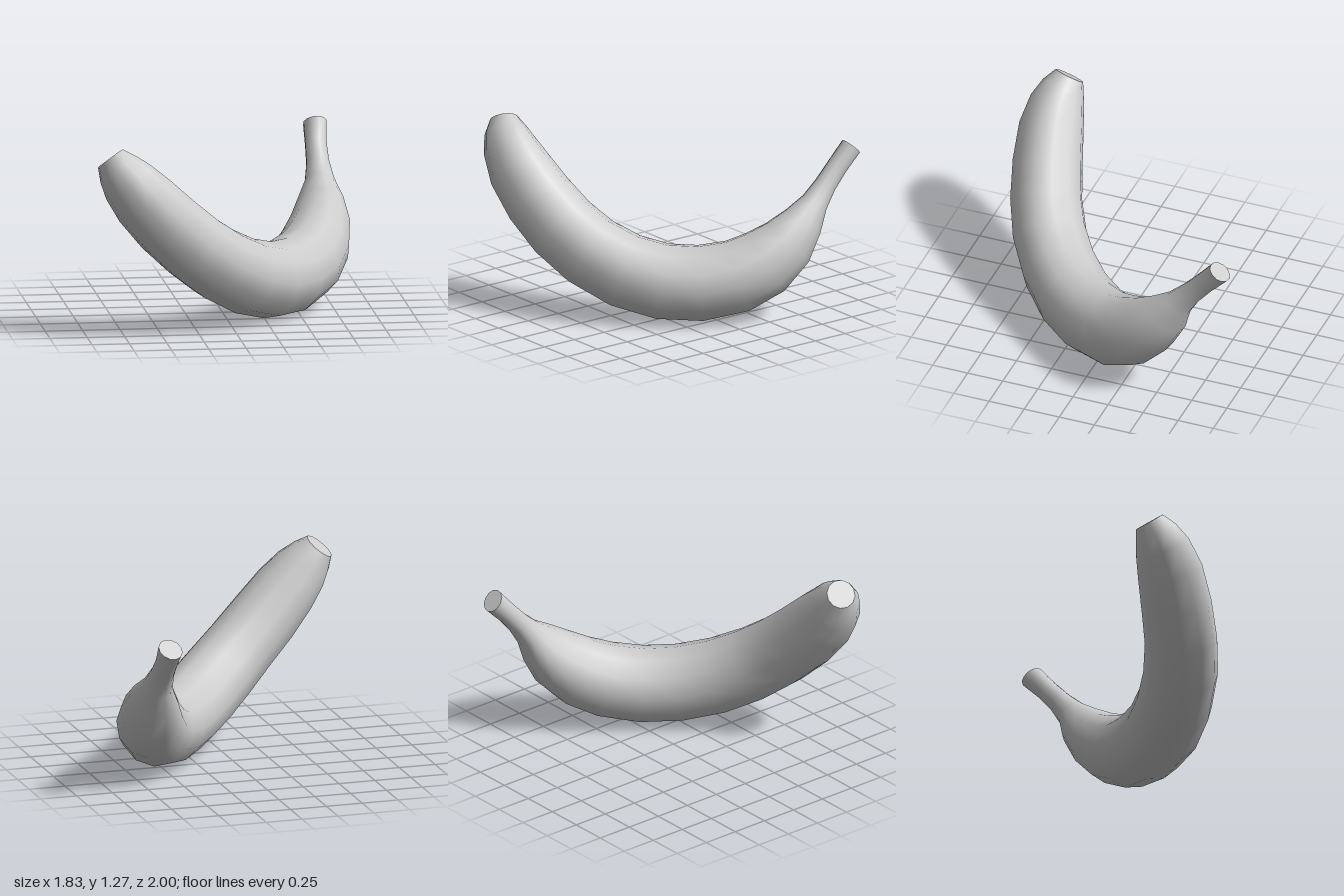
import * as THREE from 'three';

const SIDES = 12;

// Cross-sections from blossom tip to stem end: x, y, z, radius in the bend plane, radius across it
const SECTIONS = [
  [-0.845, 1.21, 0.745, 0.095, 0.105],
  [-0.795, 1.14, 0.768, 0.145, 0.15],
  [-0.73, 1.055, 0.785, 0.18, 0.19],
  [-0.62, 0.925, 0.785, 0.215, 0.22],
  [-0.46, 0.755, 0.75, 0.235, 0.235],
  [-0.28, 0.59, 0.69, 0.245, 0.24],
  [-0.1, 0.45, 0.595, 0.25, 0.25],
  [0.09, 0.335, 0.45, 0.255, 0.255],
  [0.27, 0.27, 0.275, 0.257, 0.257],
  [0.43, 0.26, 0.08, 0.257, 0.257],
  [0.57, 0.305, -0.12, 0.25, 0.253],
  [0.655, 0.39, -0.285, 0.235, 0.24],
  [0.705, 0.51, -0.435, 0.195, 0.215],
  [0.722, 0.64, -0.555, 0.14, 0.17],
  [0.73, 0.755, -0.645, 0.092, 0.105],
  [0.73, 0.86, -0.735, 0.074, 0.08],
  [0.73, 0.97, -0.835, 0.07, 0.075],
  [0.738, 1.088, -0.945, 0.072, 0.085],
];

// One ring of points per cross-section, square to the centre line
function makeRings() {
  const centres = SECTIONS.map(([x, y, z]) => new THREE.Vector3(x, y, z));
  const curve = new THREE.CatmullRomCurve3(centres);
  const last = centres.length - 1;
  const mid = centres[9];
  const planeNormal = centres[0].clone().sub(mid).cross(centres[last].clone().sub(mid)).normalize();
  return SECTIONS.map((s, i) => {
    const tangent = curve.getTangent(i / last);
    const up = new THREE.Vector3().crossVectors(tangent, planeNormal).normalize();
    const side = new THREE.Vector3().crossVectors(up, tangent).normalize();
    const points = [];
    for (let j = 0; j < SIDES; j++) {
      const a = (j / SIDES) * Math.PI * 2;
      points.push(centres[i].clone()
        .addScaledVector(up, Math.cos(a) * s[3])
        .addScaledVector(side, Math.sin(a) * s[4]));
    }
    return { centre: centres[i], points };
  });
}

function toGeometry(points, index) {
  const g = new THREE.BufferGeometry().setFromPoints(points);
  g.setIndex(index);
  g.computeVertexNormals();
  return g;
}

// Smooth skin joining neighbouring rings
function skinGeometry(rings) {
  const index = [];
  for (let i = 0; i < rings.length - 1; i++) {
    for (let j = 0; j < SIDES; j++) {
      const k = (j + 1) % SIDES;
      const a = i * SIDES + j, b = i * SIDES + k;
      const c = a + SIDES, d = b + SIDES;
      index.push(a, c, b, b, c, d);
    }
  }
  return toGeometry(rings.flatMap((r) => r.points), index);
}

// Flat disc closing an end ring
function capGeometry(ring, outward) {
  const index = [];
  for (let j = 0; j < SIDES; j++) {
    const a = j + 1, b = ((j + 1) % SIDES) + 1;
    index.push(0, ...(outward ? [b, a] : [a, b]));
  }
  const g = toGeometry([ring.centre, ...ring.points], index);
  return g;
}

export function createModel() {
  const group = new THREE.Group();
  group.name = 'banana';
  const material = new THREE.MeshStandardMaterial({ color: 0xcccccc, side: THREE.DoubleSide });
  const rings = makeRings();

  const add = (name, geometry) => {
    const mesh = new THREE.Mesh(geometry, material);
    mesh.name = name;
    group.add(mesh);
  };
  add('peel', skinGeometry(rings));
  add('blossomTip', capGeometry(rings[0], false));
  add('stemEnd', capGeometry(rings[rings.length - 1], true));
  return group;
}
